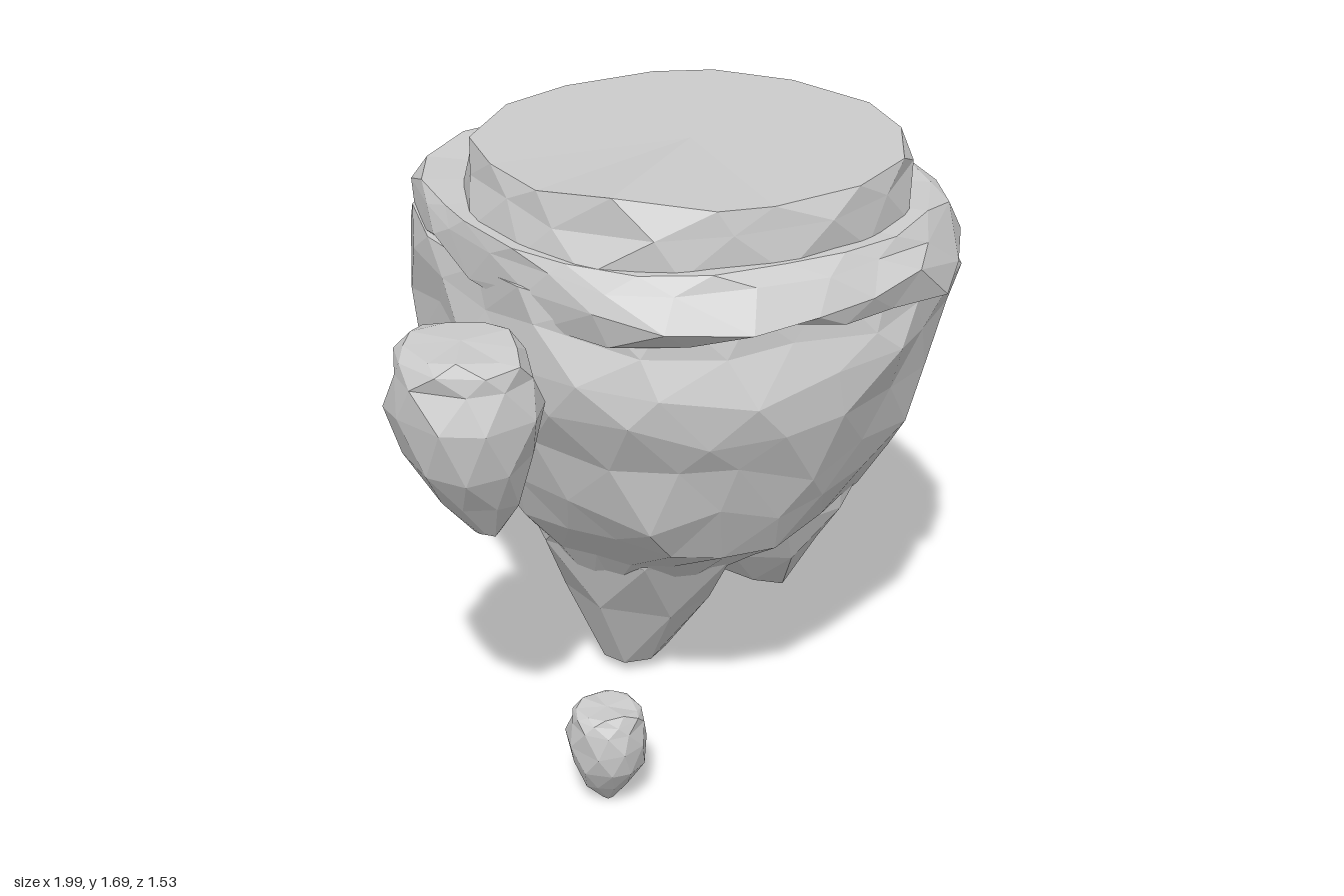
import * as THREE from 'three';

const material = new THREE.MeshStandardMaterial({ color: 0xcccccc, flatShading: true });

// Seeded noise in -1..1
function makeNoise(seed) {
  let s = seed * 7919 + 17;
  return () => {
    s = (s * 16807) % 2147483647;
    return (s / 2147483647) * 2 - 1;
  };
}

// Faceted rock through elliptical sections listed from the top down:
// [y, xMin, xMax, zMin, zMax, roughness, vertical roughness]
// swell(angle, y) scales the radius, lift(x, z, ring) raises a corner.
function loftRock(name, sections, sides, seed, { swell = () => 1, lift = () => 0 } = {}) {
  const noise = makeNoise(seed);
  noise(); noise();
  const pos = [], index = [];
  sections.forEach(([y, x0, x1, z0, z1, rough = 0, roughY = 0], i) => {
    for (let j = 0; j < sides; j++) {
      const a = ((j + (i % 2) * 0.5 + noise() * 0.18) / sides) * Math.PI * 2;
      const k = (1 + noise() * rough) * swell(a, y);
      const x = (x0 + x1) / 2 + Math.cos(a) * k * (x1 - x0) / 2;
      const z = (z0 + z1) / 2 + Math.sin(a) * k * (z1 - z0) / 2;
      pos.push(x, y + noise() * roughY + lift(x, z, i), z);
    }
  });
  // Walls, with the diagonals following the half-step stagger of the rings
  for (let i = 0; i < sections.length - 1; i++) {
    for (let j = 0; j < sides; j++) {
      const n = (j + 1) % sides;
      const a = i * sides + j, b = i * sides + n;
      const c = a + sides, d = b + sides;
      if (i % 2 === 0) index.push(a, b, c, b, d, c);
      else index.push(a, b, d, a, d, c);
    }
  }
  // End caps
  for (const [ring, up] of [[0, true], [sections.length - 1, false]]) {
    const [y, x0, x1, z0, z1] = sections[ring];
    const cx = (x0 + x1) / 2, cz = (z0 + z1) / 2;
    const centre = pos.length / 3;
    pos.push(cx, y + lift(cx, cz, ring), cz);
    for (let j = 0; j < sides; j++) {
      const a = ring * sides + j, b = ring * sides + (j + 1) % sides;
      if (up) index.push(centre, b, a);
      else index.push(centre, a, b);
    }
  }
  const geo = new THREE.BufferGeometry();
  geo.setAttribute('position', new THREE.Float32BufferAttribute(pos, 3));
  geo.setIndex(index);
  const flat = geo.toNonIndexed();
  flat.computeVertexNormals();
  const mesh = new THREE.Mesh(flat, material);
  mesh.name = name;
  return mesh;
}

// Smooth bump around an angle given in degrees
function bump(a, degrees, width) {
  const d = a - degrees * Math.PI / 180;
  return Math.exp(-((Math.atan2(Math.sin(d), Math.cos(d)) * 180 / Math.PI / width) ** 2));
}

// Squarer outline, fuller at the back right, hollowed at the back left under the ledge
function islandSwell(a, y) {
  const upper = THREE.MathUtils.smoothstep(y, 0.5, 1.2);
  const hollow = y > 0.7 && y < 1.15 ? 0.04 : 0;
  return 1 + upper * (0.06 * Math.sin(2 * a) ** 2 + 0.06 * bump(a, 228, 22)) - hollow * bump(a, -38, 22);
}

// Small drifting rock: a full teardrop with a bevelled top, fitted to a box and a tip
function driftingRock(name, [x0, x1], [y0, y1], [z0, z1], [tx, tz], seed) {
  const cx = (x0 + x1) / 2, cz = (z0 + z1) / 2, h = y1 - y0;
  const profile = [
    [0.98, 0.7, 0], [0.93, 0.85, 0], [0.84, 0.9, 0], [0.65, 0.99, 0.03],
    [0.42, 0.86, 0.2], [0.2, 0.57, 0.6], [0.0, 0.16, 1]
  ];
  const sections = profile.map(([t, s, lean], i) => {
    const x = cx + (tx - cx) * lean, z = cz + (tz - cz) * lean;
    const w = s * (x1 - x0) / 2, d = s * (z1 - z0) / 2;
    return [y0 + h * t, x - w, x + w, z - d, z + d, 0.06, h * (i < 6 ? 0.025 : 0.01)];
  });
  return loftRock(name, sections, 9, seed);
}

export function createModel() {
  const group = new THREE.Group();
  group.name = 'floatingIsland';

  // Flat ground on top, lifted slightly at the front right
  const top = loftRock('topGround', [
    [1.66, -0.52, 0.61, -0.49, 0.63, 0.02],
    [1.6, -0.54, 0.62, -0.5, 0.64, 0.02, 0.02],
    [1.49, -0.57, 0.63, -0.52, 0.65, 0.015, 0.01]
  ], 15, 3, {
    swell: (a) => 1 + 0.04 * Math.sin(2 * a) ** 2,
    lift: (x, z, ring) => (ring === 0 ? 0.035 * Math.max(0, 1 - Math.hypot(x + 0.4, z - 0.43) / 0.3) : 0)
  });

  // Ragged ledge below the ground
  const ledge = loftRock('rockLedge', [
    [1.515, -0.59, 0.7, -0.68, 0.67, 0.015, 0.006],
    [1.48, -0.61, 0.74, -0.7, 0.7, 0.025, 0.02],
    [1.4, -0.61, 0.77, -0.73, 0.77, 0.03, 0.04],
    [1.36, -0.58, 0.75, -0.7, 0.73, 0.03, 0.045]
  ], 22, 8, { swell: islandSwell });

  // Main body with an undercut belly at the front
  const body = loftRock('rockBody', [
    [1.42, -0.6, 0.73, -0.7, 0.69, 0.02, 0.02],
    [1.32, -0.61, 0.79, -0.75, 0.71, 0.025, 0.03],
    [1.2, -0.61, 0.7, -0.68, 0.73, 0.03, 0.035],
    [1.08, -0.6, 0.65, -0.73, 0.72, 0.035, 0.04],
    [0.93, -0.56, 0.63, -0.69, 0.68, 0.035, 0.04],
    [0.79, -0.51, 0.6, -0.62, 0.63, 0.035, 0.04],
    [0.65, -0.46, 0.53, -0.47, 0.54, 0.035, 0.03],
    [0.5, -0.35, 0.42, -0.37, 0.34, 0.04, 0.025],
    [0.38, -0.27, 0.3, -0.29, 0.18, 0.04, 0.02]
  ], 20, 21, { swell: islandSwell });

  // Blunt spire with few broad facets
  const spire = loftRock('lowerSpire', [
    [0.66, -0.42, 0.28, -0.46, 0.36, 0.02],
    [0.48, -0.37, 0.28, -0.38, 0.3, 0.03, 0.02],
    [0.27, -0.26, 0.18, -0.26, 0.16, 0.04, 0.02],
    [0.03, -0.15, 0.04, -0.16, 0.01, 0.03, 0.008]
  ], 7, 14);

  // Spur continuing the left flank downward, its lower edge rising to the back
  const spur = loftRock('hangingSpur', [
    [0.92, 0.15, 0.58, -0.2, 0.46, 0.02],
    [0.75, 0.08, 0.56, -0.22, 0.45, 0.02, 0.02],
    [0.6, 0.05, 0.51, -0.26, 0.42, 0.02, 0.02],
    [0.45, 0.05, 0.45, -0.24, 0.32, 0.03, 0.015],
    [0.29, 0.13, 0.41, -0.16, 0.2, 0.03, 0.01]
  ], 9, 5, { lift: (x, z, ring) => (ring === 4 ? 0.45 * Math.max(0, 0.06 - z) + 0.4 * Math.max(0, 0.22 - x) : 0) });

  group.add(top, ledge, body, spire, spur);

  // Drifting rocks: name, x range, y range, z range, tip (x, z)
  [
    ['largeRightRock', [-1.0, -0.61], [0.83, 1.38], [0.13, 0.55], [-0.76, 0.36]],
    ['lowRightRock', [-0.61, -0.39], [0.0, 0.3], [0.4, 0.63], [-0.49, 0.5]],
    ['tallLeftRock', [0.71, 0.95], [0.72, 1.19], [-0.43, -0.2], [0.83, -0.3]],
    ['smallLeftRock', [0.86, 1.0], [0.63, 0.92], [-0.53, -0.38], [0.91, -0.48]],
    ['tinyLeftRock', [0.58, 0.66], [0.54, 0.71], [-0.51, -0.43], [0.61, -0.47]],
    ['backRock', [-0.11, 0.22], [0.2, 0.65], [-0.78, -0.43], [0.05, -0.64]]
  ].forEach((rock, i) => group.add(driftingRock(...rock, 31 + i * 4)));

  return group;
}
